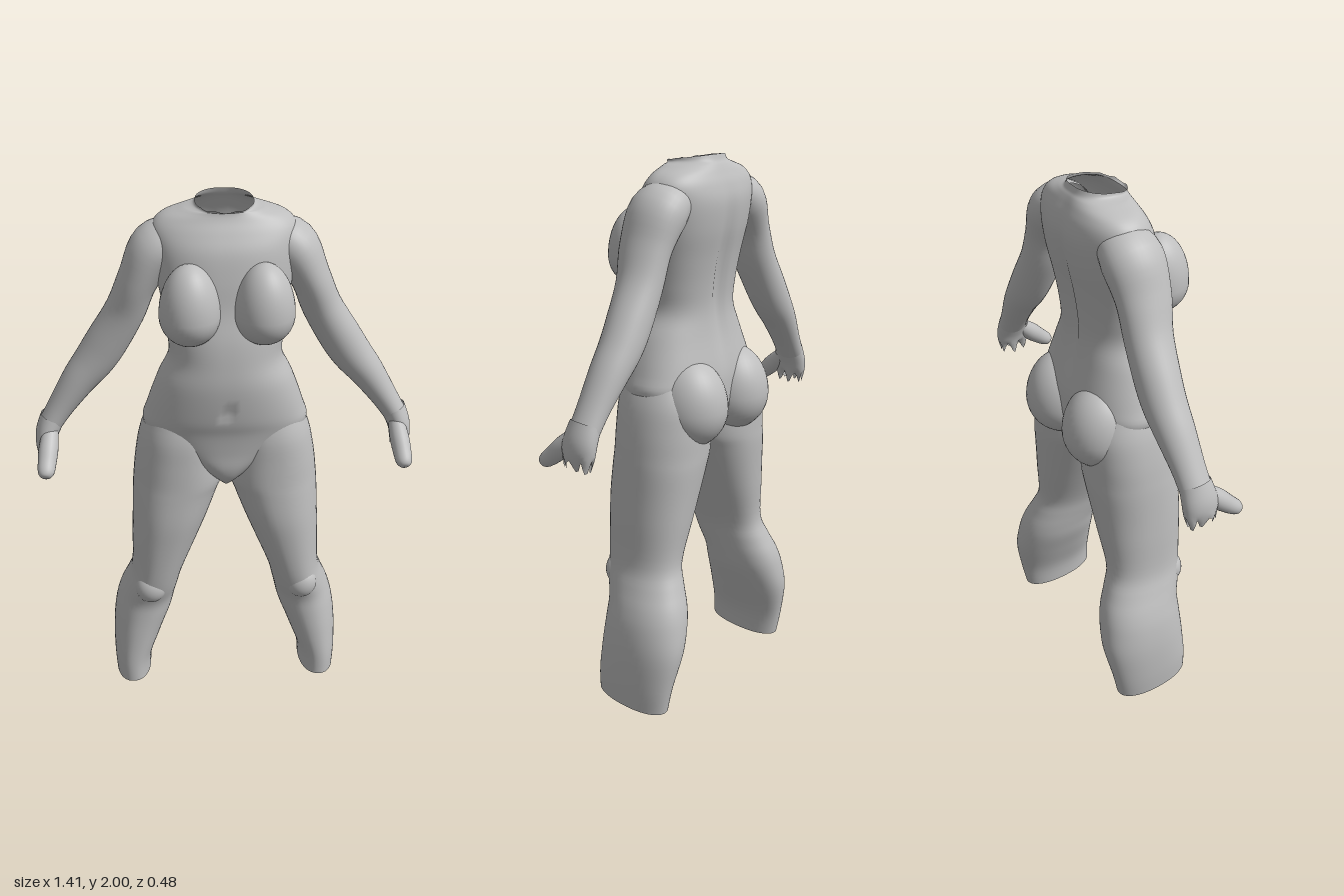
import * as THREE from 'three';

const stone = new THREE.MeshStandardMaterial({ color: 0xbebebe, side: THREE.DoubleSide });
stone.name = 'grey stone';

// Smoothly resample a list of cross-section rows
function resample(rows, steps) {
  const out = [], n = rows.length;
  for (let i = 0; i < n - 1; i++) {
    const a = rows[Math.max(i - 1, 0)], b = rows[i], c = rows[i + 1], d = rows[Math.min(i + 2, n - 1)];
    for (let s = 0; s < steps; s++) {
      const t = s / steps;
      out.push(b.map((v, k) => {
        const m0 = (c[k] - a[k]) / 2, m1 = (d[k] - v) / 2;
        return v + m0 * t + (3 * (c[k] - v) - 2 * m0 - m1) * t * t + (2 * (v - c[k]) + m0 + m1) * t * t * t;
      }));
    }
  }
  out.push(rows[n - 1]);
  return out;
}

// Skin a stack of closed rings; ring(i, angle) returns a point
function skin(count, sides, ring) {
  const pos = [], idx = [];
  for (let i = 0; i < count; i++)
    for (let j = 0; j < sides; j++) pos.push(...ring(i, (j / sides) * Math.PI * 2));
  for (let i = 0; i < count - 1; i++)
    for (let j = 0; j < sides; j++) {
      const k = (j + 1) % sides, a = i * sides, b = a + sides;
      idx.push(a + j, b + j, a + k, a + k, b + j, b + k);
    }
  const g = new THREE.BufferGeometry();
  g.setAttribute('position', new THREE.Float32BufferAttribute(pos, 3));
  g.setIndex(idx);
  g.computeVertexNormals();
  return g;
}

const power = (v, e) => Math.sign(v) * Math.pow(Math.abs(v), e);

// Horizontal sections: [y, inner x, outer x, front z, back z]
function column(rows, steps, sides, exponent, rule) {
  const r = resample(rows, steps);
  return skin(r.length, sides, (i, a) => {
    const [y, x0, x1, zf, zb] = r[i];
    const x = (x0 + x1) / 2 + (x1 - x0) / 2 * power(Math.cos(a), 2 / exponent);
    const z = (zf + zb) / 2 + (zf - zb) / 2 * power(Math.sin(a), 2 / exponent);
    return rule(x, y, z, a);
  });
}

// Sections along a bent path: [x, y, z, half width, half depth]
function limb(rows, steps, sides, rule = (p) => p) {
  const r = resample(rows, steps), Z = new THREE.Vector3(0, 0, 1);
  const at = (i) => new THREE.Vector3(...r[Math.min(Math.max(i, 0), r.length - 1)].slice(0, 3));
  return skin(r.length, sides, (i, a) => {
    const t = at(i + 1).sub(at(i - 1)).normalize();
    const u = t.clone().cross(Z).normalize(), v = u.clone().cross(t);
    const p = at(i).addScaledVector(u, r[i][3] * Math.cos(a)).addScaledVector(v, r[i][4] * Math.sin(a));
    return rule(p, i / (r.length - 1), a).toArray();
  });
}

function mirrored(geometry) {
  const g = geometry.clone().scale(-1, 1, 1), ix = g.index.array;
  for (let i = 0; i < ix.length; i += 3) [ix[i], ix[i + 1]] = [ix[i + 1], ix[i]];
  return g;
}

function ellipsoid(x, y, z, rx, ry, rz, upper = 1, tilt = 0) {
  const g = new THREE.SphereGeometry(1, 36, 26), p = g.attributes.position;
  for (let i = 0; i < p.count; i++) if (p.getY(i) > 0) p.setY(i, p.getY(i) * upper);
  g.scale(rx, ry, rz);
  g.computeVertexNormals();
  return g.rotateY(tilt).translate(x, y, z);
}

export function createModel() {
  const model = new THREE.Group();
  const add = (name, geometry) => {
    const m = new THREE.Mesh(geometry, stone);
    m.name = name;
    model.add(m);
  };
  const pair = (name, geometry) => {
    add('left' + name, geometry);
    add('right' + name, mirrored(geometry));
  };

  // Torso with open neck, spine groove and navel dent: [y, half width, front z, back z]
  const torso = [
    [0.94, 0.02, 0.09, -0.05], [0.98, 0.06, 0.135, -0.1], [1.03, 0.13, 0.155, -0.15],
    [1.1, 0.24, 0.16, -0.17], [1.18, 0.3, 0.17, -0.175], [1.25, 0.285, 0.187, -0.17],
    [1.37, 0.243, 0.2, -0.145], [1.46, 0.202, 0.195, -0.135], [1.55, 0.208, 0.182, -0.14],
    [1.65, 0.222, 0.155, -0.155], [1.75, 0.24, 0.14, -0.175], [1.84, 0.25, 0.12, -0.183],
    [1.9, 0.25, 0.09, -0.172], [1.94, 0.215, 0.065, -0.155], [1.965, 0.145, 0.055, -0.142],
    [1.98, 0.108, 0.06, -0.132], [2, 0.1, 0.065, -0.125],
  ].map(([y, w, f, b]) => [y, -w, w, f, b]);
  add('torso', column(torso, 5, 96, 2.3, (x, y, z, a) => {
    const bell = (v, w) => Math.exp(-(v * v) / (w * w));
    if (z < 0) z += 0.022 * bell(x, 0.03) * bell(y - 1.55, 0.28);
    else z -= 0.02 * bell(x, 0.012) * bell(y - 1.285, 0.02);
    // the neck rim dips toward the front and is slightly uneven
    if (y > 1.965) y -= ((y - 1.965) / 0.035) * (0.012 * (1 + Math.sin(a)) + 0.006 * Math.abs(Math.sin(a * 5)) * Math.max(0, Math.sin(a)));
    return [x, y, z];
  }));

  // Chest and seat volumes
  pair('Breast', ellipsoid(0.127, 1.64, 0.13, 0.106, 0.108, 0.112, 1.65, 0.1));
  pair('Buttock', ellipsoid(0.135, 1.115, -0.1, 0.135, 0.145, 0.143, 1.25, 0.1));

  // Legs, cut off below the calf with a slanted end
  const leg = [
    [0, 0.31, 0.45, 0.13, -0.17], [0.1, 0.3, 0.455, 0.13, -0.19], [0.23, 0.255, 0.453, 0.125, -0.215],
    [0.33, 0.217, 0.44, 0.12, -0.21], [0.4, 0.2, 0.42, 0.12, -0.195], [0.47, 0.185, 0.392, 0.14, -0.167],
    [0.55, 0.165, 0.367, 0.153, -0.143], [0.7, 0.105, 0.36, 0.165, -0.158], [0.8, 0.065, 0.355, 0.17, -0.168],
    [0.9, 0.028, 0.35, 0.166, -0.178], [0.96, 0.006, 0.345, 0.163, -0.18], [1.05, 0.008, 0.334, 0.16, -0.18],
    [1.15, 0.02, 0.312, 0.155, -0.17], [1.25, 0.04, 0.27, 0.13, -0.12],
  ];
  const slant = (x, y, z) => [x, y + 0.1 * (z + 0.17) * Math.max(0, 1 - y / 0.2), z];
  pair('Leg', column(leg, 4, 48, 2.2, slant));
  pair('LegEnd', column([[0, 0.3799, 0.3801, -0.0199, -0.0201], leg[0]], 1, 48, 2.2, slant));
  pair('Knee', ellipsoid(0.295, 0.485, 0.105, 0.06, 0.065, 0.05));

  // Arms run from inside the shoulder to the wrist
  pair('Arm', limb([
    [0.15, 1.86, -0.05, 0.07, 0.085], [0.235, 1.82, -0.045, 0.09, 0.11], [0.3, 1.71, -0.04, 0.072, 0.1],
    [0.35, 1.59, -0.05, 0.072, 0.086], [0.42, 1.47, -0.058, 0.076, 0.08], [0.47, 1.395, -0.06, 0.073, 0.076],
    [0.53, 1.32, -0.057, 0.063, 0.07], [0.6, 1.22, -0.05, 0.049, 0.06], [0.645, 1.15, -0.045, 0.043, 0.058],
  ], 5, 36));

  // Broken-off hand with a ragged rim, and a thumb stub
  pair('Hand', limb([
    [0.635, 1.175, -0.045, 0.046, 0.058], [0.658, 1.12, -0.04, 0.043, 0.066],
    [0.666, 1.075, -0.036, 0.037, 0.066], [0.668, 1.04, -0.034, 0.026, 0.054],
  ], 4, 36, (p, t, a) => {
    p.y += Math.max(0, t - 0.6) * 0.05 * Math.sin(a * 7);
    p.x += Math.max(0, t - 0.6) * 0.02 * Math.sin(a * 5);
    return p;
  }));
  pair('Thumb', limb([
    [0.645, 1.13, -0.01, 0.03, 0.03], [0.652, 1.085, 0.04, 0.036, 0.036], [0.657, 1.05, 0.08, 0.034, 0.032],
    [0.66, 1.025, 0.112, 0.03, 0.027], [0.66, 1.013, 0.126, 0.018, 0.017], [0.66, 1.01, 0.13, 0.001, 0.001],
  ], 4, 24));

  return model;
}
